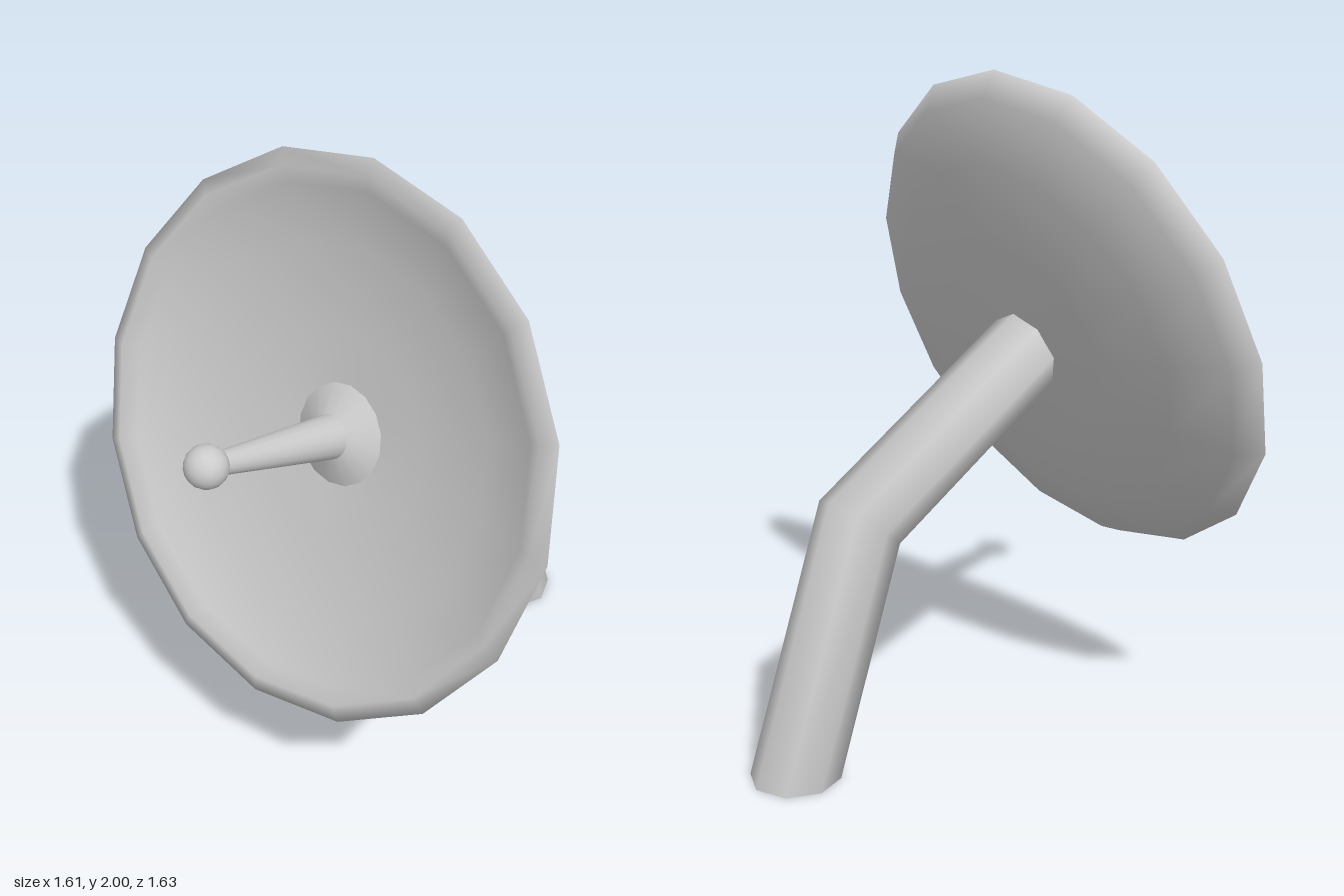
import * as THREE from 'three';

const material = new THREE.MeshStandardMaterial({ color: 0xcccccc });

function part(name, geometry, parent) {
  const mesh = new THREE.Mesh(geometry, material);
  mesh.name = name;
  parent.add(mesh);
  return mesh;
}

// Eight-sided bent tube; each section is [centre x, centre y, half-axis x, half-axis y]
function bentArm(sections, halfWidth, sides) {
  const positions = [], index = [];
  const addRing = ([cx, cy, hx, hy]) => {
    const start = positions.length / 3;
    for (let j = 0; j < sides; j++) {
      const t = (j / sides) * Math.PI * 2;
      positions.push(cx + Math.cos(t) * hx, cy + Math.cos(t) * hy, Math.sin(t) * halfWidth);
    }
    return start;
  };
  // Smooth side walls
  const starts = sections.map(addRing);
  for (let i = 0; i + 1 < starts.length; i++) {
    for (let j = 0; j < sides; j++) {
      const k = (j + 1) % sides;
      const a = starts[i] + j, b = starts[i] + k, c = starts[i + 1] + j, d = starts[i + 1] + k;
      index.push(a, c, b, b, c, d);
    }
  }
  // Flat end caps with their own vertices
  [sections[0], sections[sections.length - 1]].forEach((section, end) => {
    const s = addRing(section);
    for (let j = 1; j + 1 < sides; j++) {
      if (end === 0) index.push(s, s + j, s + j + 1);
      else index.push(s, s + j + 1, s + j);
    }
  });
  const geometry = new THREE.BufferGeometry();
  geometry.setAttribute('position', new THREE.Float32BufferAttribute(positions, 3));
  geometry.setIndex(index);
  geometry.computeVertexNormals();
  return geometry;
}

export function createModel() {
  const model = new THREE.Group();
  model.name = 'dishAntenna';

  // Bent support arm, from the ground to the back of the dish
  part('supportArm', bentArm([
    [0.67, 0, 0.135, 0],
    [0.425, 0.73, 0.105, 0.08],
    [-0.213, 1.155, 0.045, 0.12],
  ], 0.135, 8), model);

  // Tilted head: local +y is the direction the dish points
  const head = new THREE.Group();
  head.name = 'dishHead';
  head.position.set(-0.36, 1.235, 0);
  head.rotation.z = THREE.MathUtils.degToRad(70);
  model.add(head);

  // Dish: back centre, around the rim, then into the bowl
  const profile = [
    [0, -0.18], [0.32, -0.168], [0.575, -0.133], [0.755, -0.07], [0.815, -0.003],
    [0.765, 0.013], [0.72, -0.018], [0.55, -0.08], [0.3, -0.12], [0, -0.14],
  ].map(([r, y]) => new THREE.Vector2(r, y));
  part('dish', new THREE.LatheGeometry(profile, 16), head);

  // Conical collar in the bowl
  const collar = part('feedCollar', new THREE.CylinderGeometry(0.065, 0.157, 0.05, 16), head);
  collar.position.y = -0.108;

  // Tapered feed rod and its ball tip
  const rod = part('feedRod', new THREE.CylinderGeometry(0.03, 0.067, 0.5, 16), head);
  rod.position.y = 0.15;
  const tip = part('feedTip', new THREE.SphereGeometry(0.061, 16, 12), head);
  tip.position.y = 0.414;

  return model;
}
